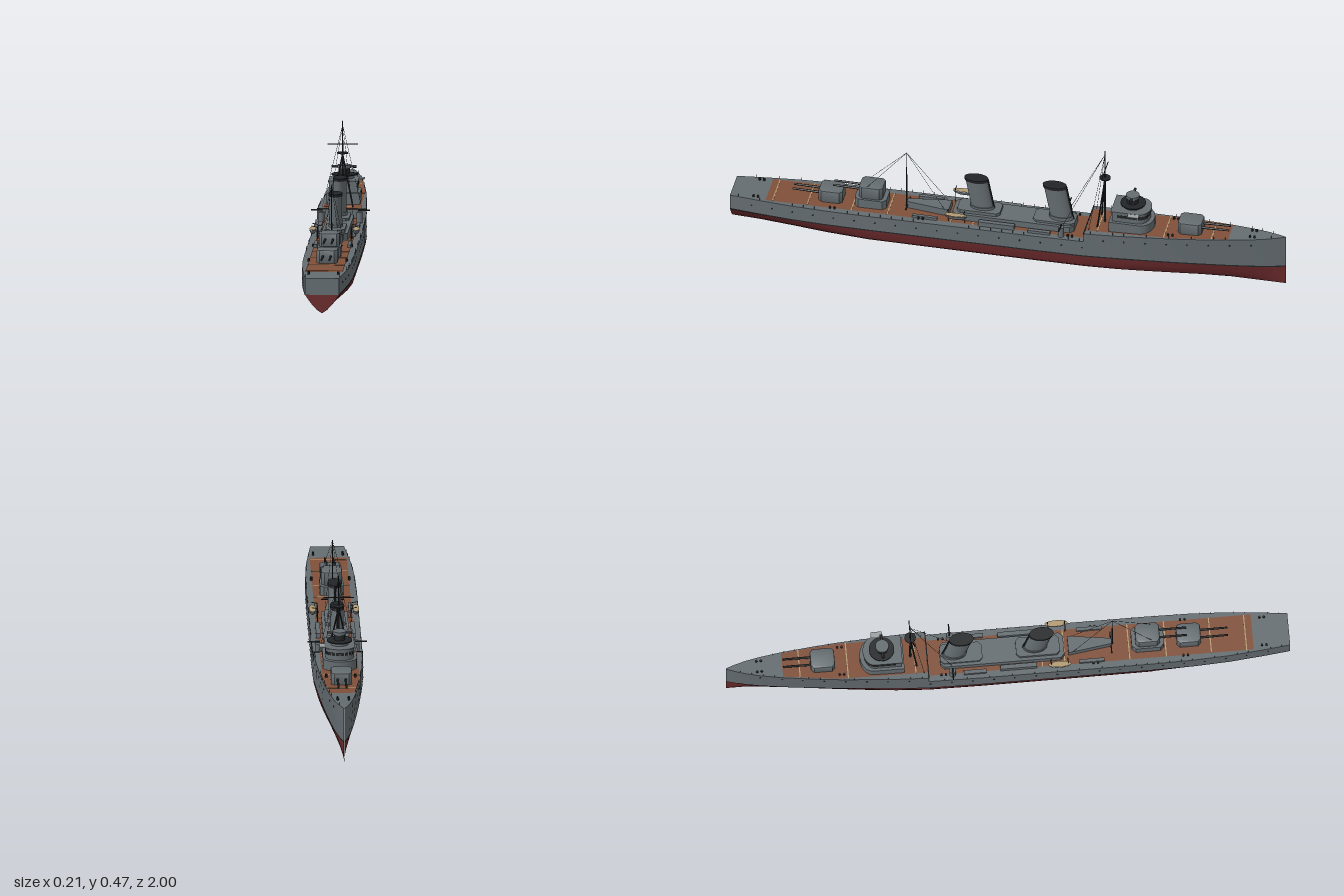
import * as THREE from 'three';
import { toCreasedNormals } from 'three/addons/utils/BufferGeometryUtils.js';

const paint = (name, color, side = THREE.FrontSide) => {
  const m = new THREE.MeshStandardMaterial({ color, side });
  m.name = name;
  return m;
};

export function createModel() {
  const ship = new THREE.Group();
  ship.name = 'warship';
  const grey = paint('hull grey', 0x656d71);
  const red = paint('antifouling red', 0x6c2a2c);
  const wood = paint('deck wood', 0x80503a);
  const dark = paint('dark metal', 0x222527);
  const tan = paint('pale timber', 0xb39c74, THREE.DoubleSide);
  const pale = paint('pale grey', 0x9ca2a3);

  const add = (name, geo, mat, x = 0, y = 0, z = 0) => {
    const m = new THREE.Mesh(geo, mat);
    m.name = name;
    m.position.set(x, y, z);
    ship.add(m);
    return m;
  };
  const box = (name, mat, x, y0, y1, z0, z1, w) =>
    add(name, new THREE.BoxGeometry(w, y1 - y0, z1 - z0), mat, x, (y0 + y1) / 2, (z0 + z1) / 2);
  const drum = (name, mat, r, x, y0, y1, z, n = 20) =>
    add(name, new THREE.CylinderGeometry(r, r, y1 - y0, n), mat, x, (y0 + y1) / 2, z);
  const rod = (name, mat, a, b, r, r2 = r) => {
    const p = new THREE.Vector3(...a), d = new THREE.Vector3(...b).sub(p);
    const m = add(name, new THREE.CylinderGeometry(r2, r, d.length(), 8), mat);
    m.position.copy(p).addScaledVector(d, 0.5);
    m.quaternion.setFromUnitVectors(new THREE.Vector3(0, 1, 0), d.normalize());
    return m;
  };
  // skin over rows of points; rows run towards +z
  const loft = (name, rows, mat, crease = 0.45) => {
    const n = rows[0].length, idx = [];
    for (let r = 0; r < rows.length - 1; r++)
      for (let i = 0; i < n - 1; i++) {
        const a = r * n + i, d = a + n;
        idx.push(a, d, a + 1, d, d + 1, a + 1);
      }
    const g = new THREE.BufferGeometry();
    g.setAttribute('position', new THREE.Float32BufferAttribute(rows.flat(2), 3));
    g.setIndex(idx);
    g.computeVertexNormals();
    return add(name, toCreasedNormals(g, crease), mat);
  };
  // plan outline given as [x, z], raised from y0 to y1
  const raise = (name, pts, mat, y0, y1, bevel = 0) => {
    const s = new THREE.Shape(pts.map(([x, z]) => new THREE.Vector2(x, -z)));
    const g = new THREE.ExtrudeGeometry(s, {
      depth: y1 - y0 - bevel, bevelEnabled: bevel > 0, bevelSize: bevel, bevelThickness: bevel,
      bevelOffset: -bevel, bevelSegments: 2 });
    g.rotateX(-Math.PI / 2);
    return add(name, toCreasedNormals(g, 0.5), mat, 0, y0, 0);
  };

  // ---- Hull: bow towards -z ----
  const plan = [[-1, 0.001], [-0.97, 0.012], [-0.93, 0.024], [-0.88, 0.035], [-0.8, 0.048], [-0.7, 0.06],
    [-0.6, 0.07], [-0.5, 0.077], [-0.4, 0.083], [-0.285, 0.088], [-0.1, 0.09], [0.2, 0.09], [0.5, 0.09],
    [0.65, 0.088], [0.78, 0.082], [0.9, 0.071], [1, 0.06]];
  const half = z => {
    let i = 1;
    while (i < plan.length - 1 && plan[i][0] < z) i++;
    const [a, b] = [plan[i - 1], plan[i]];
    return a[1] + (b[1] - a[1]) * (z - a[0]) / (b[0] - a[0]);
  };
  const STEP = -0.285;
  const foreY = z => 0.168 + 0.032 * Math.pow(Math.max(0, (STEP - z) / 0.715), 1.2);
  const aftY = z => 0.134 - 0.009 * (z - STEP) / 1.285;
  const water = z => half(z) * (z < -0.3 ? 1 - 0.25 * (-0.3 - z) / 0.7 : 1);
  const waterY = z => 0.07 - 0.004 * z;
  const zs = plan.map(p => p[0]);
  const fullForm = [[1, 1], [0.98, 0.72], [0.9, 0.38], [0.7, 0.14], [0, 0]];
  const fineForm = [[1, 1], [0.83, 0.76], [0.6, 0.48], [0.3, 0.18], [0, 0]];
  const section = z => {
    const f = THREE.MathUtils.smoothstep(z, -1, -0.35) * (1 - THREE.MathUtils.smoothstep(z, 0.45, 1));
    const side = fullForm.map(([x, y], i) => [
      water(z) * THREE.MathUtils.lerp(fineForm[i][0], x, f),
      waterY(z) * THREE.MathUtils.lerp(fineForm[i][1], y, f), z]);
    return [...side, ...side.slice(0, -1).reverse().map(([x, y]) => [-x, y, z])];
  };
  loft('underwaterHull', zs.map(section), red);
  const decks = [['fore', zs.filter(z => z <= STEP), foreY], ['aft', zs.filter(z => z >= STEP), aftY]];
  for (const [tag, list, top] of decks) {
    loft(tag + 'HullLeft', list.map(z => [[half(z), top(z), z], [water(z), waterY(z), z]]), grey);
    loft(tag + 'HullRight', list.map(z => [[-water(z), waterY(z), z], [-half(z), top(z), z]]), grey);
    loft(tag + 'Deck', list.map(z => [[-half(z), top(z), z], [half(z), top(z), z]]), grey);
    const planked = [-0.8, ...list.filter(z => z > -0.8 && z < 0.87), ...(tag === 'aft' ? [0.87] : [])]
      .filter(z => tag === 'fore' || z >= STEP);
    loft(tag + 'Planking', planked.map(z => {
      const w = Math.min(0.066, half(z) - 0.004);
      return [[-w, top(z) + 0.001, z], [w, top(z) + 0.001, z]];
    }), wood);
  }
  // transom and forecastle bulkhead
  const flat = (name, pts, mat, z) => add(name,
    new THREE.ShapeGeometry(new THREE.Shape(pts.map(p => new THREE.Vector2(p[0], p[1])))), mat, 0, 0, z);
  flat('lowerTransom', section(1), red, 1);
  flat('upperTransom', [[-0.06, 0.066], [0.06, 0.066], [0.06, 0.125], [-0.06, 0.125]], grey, 1);
  flat('forecastleBulkhead', [[-0.088, 0.13], [0.088, 0.13], [0.088, 0.168], [-0.088, 0.168]], grey, STEP);
  box('forecastleEdge', dark, 0, 0.166, 0.17, STEP - 0.003, STEP + 0.001, 0.176);

  const deckY = z => (z < STEP ? foreY(z) : aftY(z));
  for (const z of [-0.74, -0.57, -0.33, 0.12, 0.2, 0.43, 0.56, 0.72, 0.845])
    box('deckSeam', tan, 0, deckY(z) + 0.001, deckY(z) + 0.002, z - 0.002, z + 0.002,
      2 * Math.min(0.066, half(z) - 0.004));

  for (const s of [1, -1]) {
    // waterline strip, portholes, bollards, railings
    const strip = zs.map(z => [[s * (water(z) + 0.001), waterY(z) + 0.004, z], [s * (water(z) + 0.001), waterY(z) - 0.001, z]]);
    loft('waterlineStrip', s > 0 ? strip : strip.map(r => [r[1], r[0]]), dark);
    for (let z = -0.88; z < 0.95; z += 0.075) {
      const y = deckY(z) - 0.026, t = (y - waterY(z)) / (deckY(z) - waterY(z));
      const x = water(z) + t * (half(z) - water(z));
      rod('porthole', dark, [s * (x - 0.003), y, z], [s * (x + 0.001), y, z], 0.0035);
    }
    for (const z of [-0.89, -0.6, -0.24, 0.3, 0.62, 0.9])
      for (const dz of [0, 0.016])
        drum('bollard', dark, 0.004, s * (half(z) * 0.85 - 0.008), deckY(z), deckY(z) + 0.008, z + dz, 8);
    for (let z = -0.95; z < 0.98; z += 0.04)
      rod('railPost', dark, [s * (half(z) - 0.002), deckY(z), z], [s * (half(z) - 0.002), deckY(z) + 0.011, z], 0.0005);
    // ship's boats on davits
    const hullGeo = new THREE.SphereGeometry(1, 20, 8, 0, Math.PI * 2, Math.PI / 2, Math.PI / 2);
    add('boatHull', hullGeo.scale(0.012, 0.018, 0.042), grey, s * 0.077, 0.172, 0.18);
    add('boatInterior', new THREE.CircleGeometry(1, 20).rotateX(-Math.PI / 2).scale(0.0115, 1, 0.041), tan, s * 0.077, 0.173, 0.18);
    for (const z of [0.15, 0.21]) {
      rod('davit', dark, [s * 0.06, 0.13, z], [s * 0.06, 0.182, z], 0.0015);
      rod('davitArm', dark, [s * 0.06, 0.182, z], [s * 0.08, 0.186, z], 0.0015);
    }
    // broadside guns and deck lockers
    drum('sideGunMount', grey, 0.011, s * 0.068, 0.13, 0.172, -0.2);
    rod('sideGun', dark, [s * 0.062, 0.178, -0.2], [s * 0.105, 0.178, -0.2], 0.0025);
    box('deckLocker', grey, s * 0.062, 0.128, 0.15, -0.03, 0.1, 0.016);
    box('smallLocker', grey, s * 0.067, 0.128, 0.143, -0.16, -0.08, 0.014);
    box('aftLocker', grey, s * 0.06, 0.128, 0.14, 0.25, 0.34, 0.012);
  }

  // ---- Midship house and funnels ----
  const chamfer = (w, z0, z1, c) => [[-w, z1 - c], [-w + c, z1], [w - c, z1], [w, z1 - c],
    [w, z0 + c], [w - c, z0], [-w + c, z0], [-w, z0 + c]];
  raise('midshipHouse', chamfer(0.047, -0.24, 0.2, 0.014), grey, 0.128, 0.157);
  raise('foreFunnelCasing', chamfer(0.036, -0.24, -0.09, 0.012), grey, 0.157, 0.165);
  raise('aftFunnelCasing', chamfer(0.036, 0.03, 0.185, 0.012), grey, 0.157, 0.169);
  const funnel = (tag, zBase, top) => {
    const rake = new THREE.Matrix4().set(1, 0, 0, 0, 0, 1, 0, 0, 0, 0.19, 1, 0, 0, 0, 0, 1);
    const oval = (name, mat, x, z, y0, y1) => {
      const g = new THREE.CylinderGeometry(1, 1, y1 - y0, 32).scale(x, 1, z);
      g.translate(0, (y0 + y1) / 2 - 0.157, 0).applyMatrix4(rake);
      add(tag + name, g, mat, 0, 0.157, zBase);
    };
    oval('Funnel', grey, 0.023, 0.04, 0.157, top - 0.009);
    oval('FunnelCap', dark, 0.0245, 0.043, top - 0.01, top);
    oval('FunnelFoot', grey, 0.026, 0.044, 0.157, 0.178);
    rod(tag + 'SteamPipe', dark, [0, 0.16, zBase - 0.042], [0, top, zBase - 0.042 + 0.19 * (top - 0.157)], 0.003);
  };
  funnel('fore', -0.19, 0.302);
  funnel('aft', 0.096, 0.291);

  // ---- Bridge: rounded towards the bow ----
  const dPlan = (w, z0, z1) => {
    const d = w * 0.75, pts = [[-w, z1], [w, z1]];
    for (let i = 0; i <= 14; i++) {
      const a = Math.PI * i / 14;
      pts.push([w * Math.cos(a), z0 + d - d * Math.sin(a)]);
    }
    return pts;
  };
  raise('bridgeBase', dPlan(0.06, -0.525, -0.37), grey, 0.165, 0.212);
  raise('bridgeTower', dPlan(0.05, -0.51, -0.38), grey, 0.212, 0.25);
  raise('bridgeWindows', dPlan(0.0508, -0.5108, -0.4), dark, 0.229, 0.24);
  raise('bridgeRoof', dPlan(0.053, -0.514, -0.376), grey, 0.25, 0.254);
  for (let i = 0; i <= 10; i++) {
    const a = Math.PI * i / 10;
    box('windowFrame', grey, 0.0505 * Math.cos(a), 0.229, 0.24,
      -0.475 - 0.0365 * Math.sin(a), -0.472 - 0.0365 * Math.sin(a), 0.003);
  }
  box('signalPlatform', pale, 0.06, 0.25, 0.253, -0.48, -0.44, 0.024);
  drum('directorBase', grey, 0.032, 0, 0.254, 0.266, -0.447);
  drum('directorPlatform', dark, 0.045, 0, 0.266, 0.27, -0.447);
  drum('director', dark, 0.02, 0, 0.27, 0.293, -0.445);
  rod('rangefinder', dark, [-0.044, 0.296, -0.445], [0.044, 0.296, -0.445], 0.005);
  drum('directorCap', grey, 0.024, 0, 0.291, 0.302, -0.445);

  // ---- Main guns ----
  const turret = (tag, z, y, dir) => {
    raise(tag + 'Turret', chamfer(0.037, z - 0.043, z + 0.043, 0.011), grey, y, y + 0.044, 0.004);
    drum(tag + 'TurretRing', dark, 0.034, 0, y - 0.006, y + 0.001, z);
    for (const x of [-0.014, 0.014])
      rod(tag + 'Barrel', dark, [x, y + 0.022, z + dir * 0.035], [x, y + 0.024, z + dir * 0.14], 0.0045, 0.0035);
  };
  turret('bow', -0.657, 0.184, -1);
  turret('upperStern', 0.497, 0.168, 1);
  turret('lowerStern', 0.643, 0.131, 1);
  raise('upperTurretHouse', chamfer(0.042, 0.44, 0.555, 0.014), grey, 0.126, 0.164);

  // ---- Tapered aft house ----
  raise('aftHouse', [[-0.01, 0.37], [0.01, 0.37], [0.032, 0.215], [-0.032, 0.215]], grey, 0.128, 0.157);
  box('aftHouseRail', dark, 0, 0.14, 0.144, 0.366, 0.37, 0.08);

  // ---- Masts and rigging ----
  rod('foreMast', dark, [0, 0.168, -0.345], [0, 0.475, -0.345], 0.0042, 0.0015);
  drum('lookoutPlatform', dark, 0.02, 0, 0.358, 0.362, -0.345);
  rod('foreYard', dark, [-0.054, 0.392, -0.345], [0.054, 0.392, -0.345], 0.0016);
  rod('aftMast', dark, [0, 0.128, 0.373], [0, 0.362, 0.373], 0.003, 0.0012);
  for (const s of [1, -1]) {
    rod('foreMastLeg', dark, [s * 0.038, 0.168, -0.325], [0, 0.355, -0.345], 0.0028);
    rod('foreStay', dark, [s * 0.07, 0.172, -0.3], [0, 0.46, -0.345], 0.0006);
    rod('backStay', dark, [s * 0.045, 0.16, -0.2], [0, 0.46, -0.345], 0.0006);
    rod('aftMastStay', dark, [s * 0.03, 0.157, 0.23], [0, 0.36, 0.373], 0.0006);
    rod('aftMastBackStay', dark, [s * 0.03, 0.212, 0.51], [0, 0.36, 0.373], 0.0006);
  }
  return ship;
}
